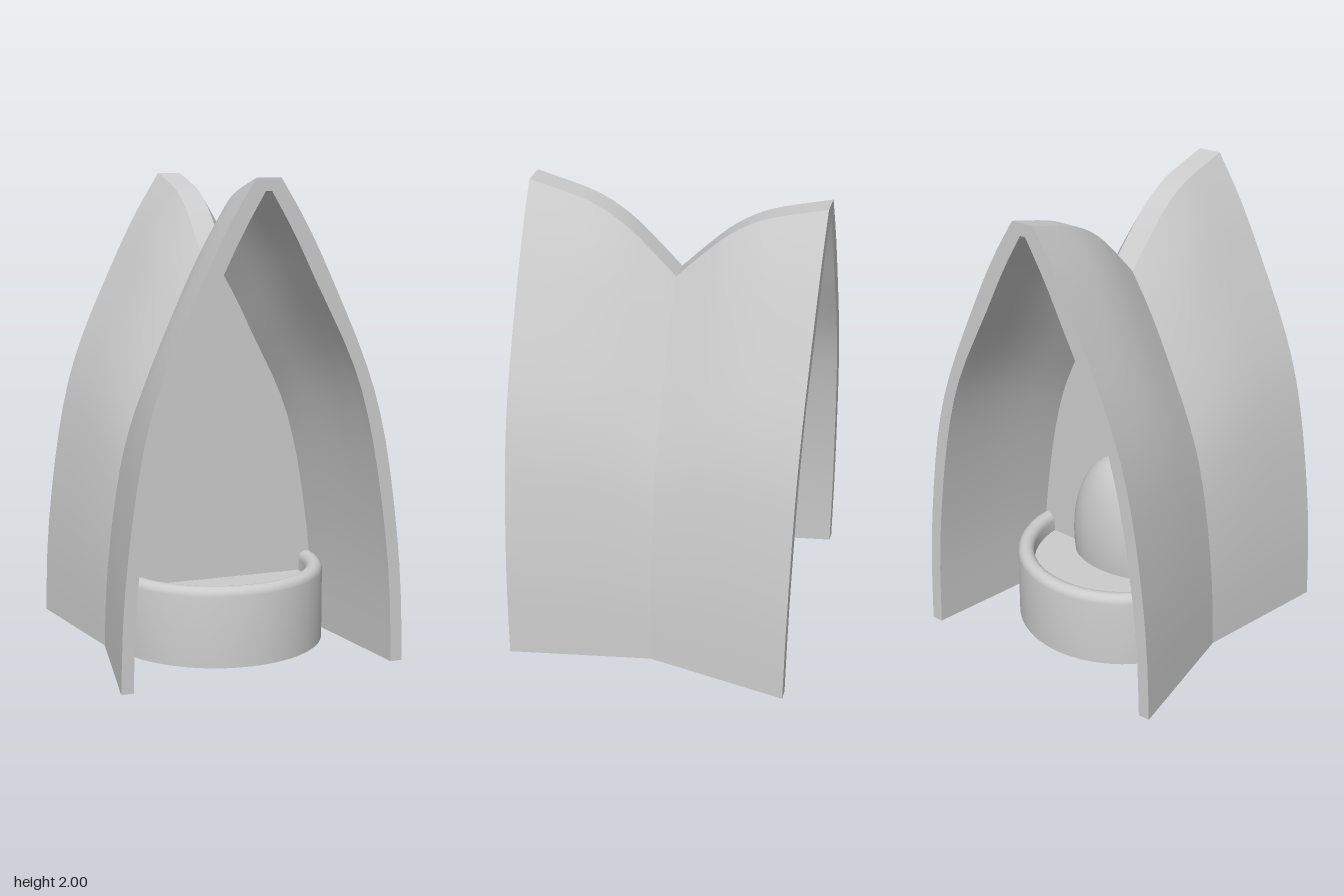
import * as THREE from 'three';
import { toCreasedNormals } from 'three/addons/utils/BufferGeometryUtils.js';

const V = (x, y) => new THREE.Vector2(x, y);
const BASE = 0.055, DEPTH = 0.592;

// Half profiles of the arch at its open ends, base to apex
const OUTER = new THREE.SplineCurve([V(0.595, BASE), V(0.58, 0.4), V(0.54, 0.75), V(0.485, 1.05),
  V(0.405, 1.3), V(0.27, 1.6), V(0.16, 1.82), V(0.05, 2)]).getPoints(18);
const INNER = new THREE.SplineCurve([V(0.545, BASE), V(0.53, 0.4), V(0.487, 0.75), V(0.43, 1.05),
  V(0.35, 1.3), V(0.2, 1.6), V(0.105, 1.79), V(0.012, 1.95)]).getPoints(18);

// Ridge height from the waist (z = 0) to the open ends
const RIDGE = new THREE.SplineCurve([V(0, 1.65), V(0.1, 1.752), V(0.2, 1.845), V(0.3, 1.91),
  V(0.4, 1.95), V(DEPTH, 2)]).getPoints(14);

// Refit a half profile to a new base width and height, then mirror it
function arch(half, width, height) {
  const { x: w0 } = half[0], { x: tip, y: h0 } = half[half.length - 1];
  const right = half.map(p => V(
    tip + (p.x - tip) * (width - tip) / (w0 - tip),
    BASE + (p.y - BASE) * (height - BASE) / (h0 - BASE)));
  return [...right, ...right.slice().reverse().map(p => V(-p.x, p.y))];
}

// Closed loop (outer arch, then inner arch back) swept along z
function shellGeometry() {
  const mirrored = RIDGE.slice(1).reverse().map(p => V(-p.x, p.y));
  const stations = [...mirrored, ...RIDGE];
  const pos = [], idx = [];
  const m = OUTER.length * 2, n = m * 2;
  for (const { x: z, y: top } of stations) {
    const t = Math.abs(z) / DEPTH;
    const loop = [
      ...arch(OUTER, 0.49 + 0.105 * t, top),
      ...arch(INNER, 0.45 + 0.095 * t, top - 0.02 - 0.03 * t).reverse()];
    for (const p of loop) pos.push(p.x, p.y, z);
  }
  for (let s = 0; s < stations.length - 1; s++) {
    for (let i = 0; i < n; i++) {
      const j = (i + 1) % n;
      const a = s * n + i, b = s * n + j, c = b + n, d = a + n;
      idx.push(a, b, c, a, c, d);
    }
  }
  // End faces
  const last = (stations.length - 1) * n;
  for (let i = 0; i < m - 1; i++) {
    const k = n - 1 - i;
    idx.push(last + i, last + i + 1, last + k - 1, last + i, last + k - 1, last + k);
    idx.push(i, k - 1, i + 1, i, k, k - 1);
  }
  const g = new THREE.BufferGeometry();
  g.setAttribute('position', new THREE.Float32BufferAttribute(pos, 3));
  g.setIndex(idx);
  return toCreasedNormals(g, 0.3);
}

export function createModel() {
  const model = new THREE.Group();
  const material = new THREE.MeshStandardMaterial({ color: 0xcccccc });
  const add = (name, geometry) => {
    const mesh = new THREE.Mesh(geometry, material);
    mesh.name = name;
    model.add(mesh);
    return mesh;
  };

  add('archShell', shellGeometry());

  // Thin wall closing the waist of the arch
  const wall = new THREE.ExtrudeGeometry(new THREE.Shape(arch(INNER, 0.455, 1.638)),
    { depth: 0.01, bevelEnabled: false });
  wall.translate(0, 0.004, -0.005);
  add('dividingWall', wall);

  // Shallow round basin with a rolled rim
  const profile = [V(0, BASE), V(0.457, BASE)];
  for (let i = 0; i <= 8; i++) {
    const a = Math.PI * i / 8;
    profile.push(V(0.422 + 0.035 * Math.cos(a), 0.35 + 0.035 * Math.sin(a)));
  }
  profile.push(V(0.387, 0.3), V(0, 0.3));
  add('basin', toCreasedNormals(new THREE.LatheGeometry(profile, 48), 0.5));

  // Half egg on the rear of the wall, reaching down through the basin
  const egg = new THREE.SphereGeometry(1, 24, 24, Math.PI, Math.PI);
  egg.scale(0.25, 0.4, 0.15);
  add('halfEgg', egg).position.set(0, 0.4, 0.004);
  const cap = new THREE.CircleGeometry(1, 48);
  cap.scale(0.25, 0.4, 1);
  add('halfEggFace', cap).position.set(0, 0.4, 0.004);

  return model;
}
